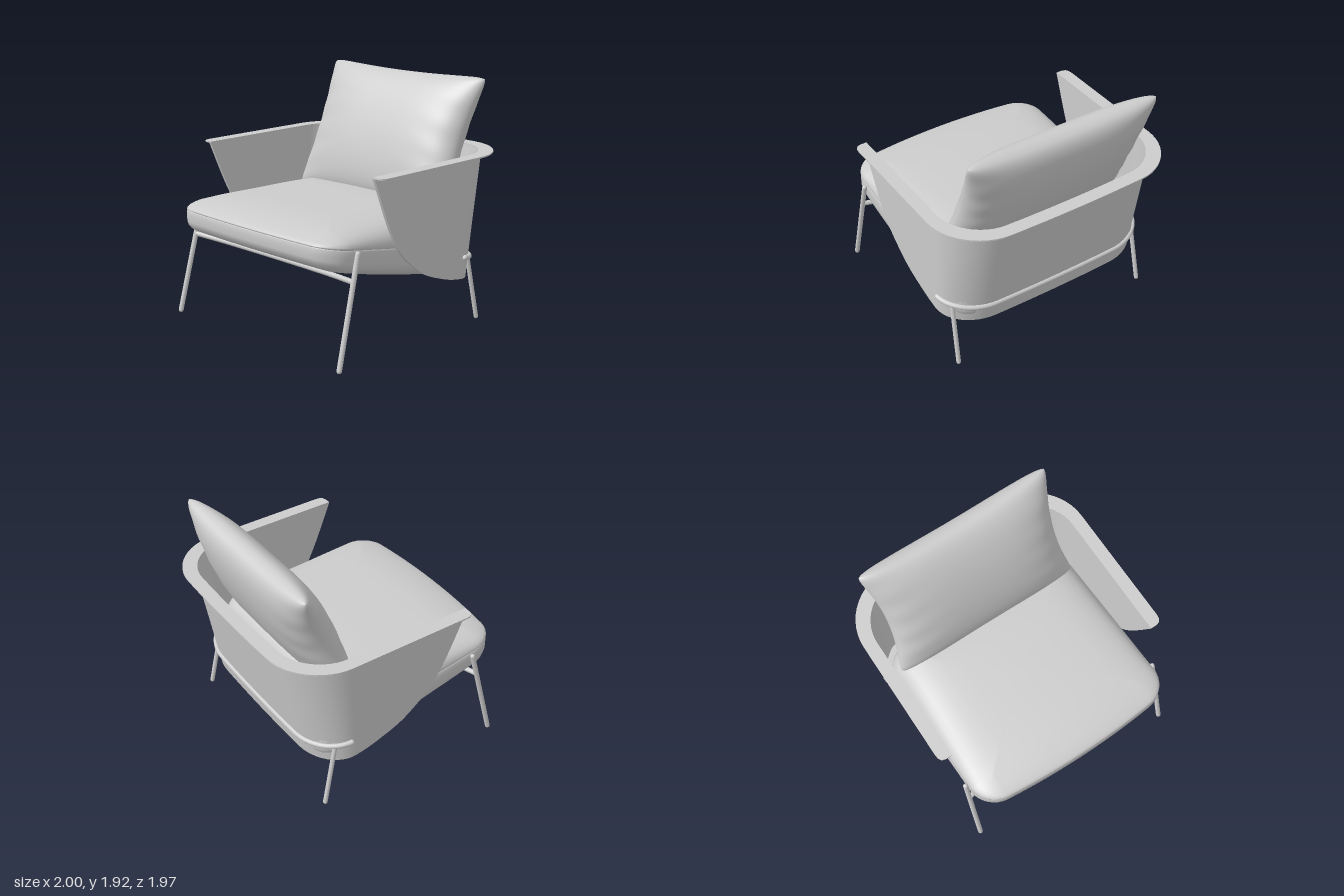
import * as THREE from 'three';

const RIM_Y = 1.355;

// U-shaped plan outline as [x, z], from the left front round the back to the right front
function uPath(w, back, r, zFront, bulge) {
  const half = [];
  const zc = -(back - r);
  for (let i = 0; i < 30; i++) half.push([w, THREE.MathUtils.lerp(zFront, zc, i / 30)]);
  for (let i = 0; i <= 12; i++) {
    const a = (i / 12) * Math.PI / 2;
    half.push([w - r + r * Math.cos(a), zc - r * Math.sin(a)]);
  }
  for (let i = 1; i <= 6; i++) half.push([(w - r) * (1 - i / 6), -back]);
  for (const p of half) if (p[1] < zc) p[1] -= bulge * (1 - (p[0] / w) ** 2) * Math.min(1, (zc - p[1]) / r);
  return [...half, ...half.slice(0, -1).reverse().map(([x, z]) => [-x, z])];
}

// The shell leans inward at the back as it goes down
function lean(x, y, z) {
  const drop = RIM_Y - y;
  return [x * (1 - 0.02 * drop), y, z < -0.2 ? -0.2 + (z + 0.2) * (1 - 0.26 * drop) : z];
}

// Joins rows of points into a surface
function loft(rows, closed) {
  const n = rows[0].length, index = [];
  for (let i = 0; i < rows.length - 1; i++) {
    for (let j = 0; j < (closed ? n : n - 1); j++) {
      const k = (j + 1) % n;
      const a = i * n + j, b = i * n + k, c = (i + 1) * n + k, d = (i + 1) * n + j;
      index.push(a, b, c, a, c, d);
    }
  }
  const g = new THREE.BufferGeometry();
  g.setAttribute('position', new THREE.Float32BufferAttribute(rows.flat(2), 3));
  g.setIndex(index);
  g.computeVertexNormals();
  return g;
}

// Heights of the seat: sloping seam, curved underside and crowned top
const seamY = z => 0.735 + 0.17 * z;
const underY = (x, z) => 0.49 + 0.205 * z + 0.05 * z * z;
const crownY = (x, z) =>
  1.0 - 0.03 * (x / 0.87) ** 2 - 0.04 * Math.max(0, (z - 0.5) / 0.48) ** 2 - 0.03 * Math.max(0, -z / 0.6) ** 2;

// Rounded seat outline, inset evenly; f blends from the seam (0) to the target height (1)
function seatRing(inset, f, zBack, targetY) {
  const zFront = 0.92, w = 0.87;
  const hx = w - inset, hz = (zFront - zBack) / 2 - inset, zc = (zFront + zBack) / 2;
  const r = Math.max(0, 0.2 - inset);
  const corners = [[1, -1], [-1, -1], [-1, 1], [1, 1]];
  const pts = [];
  corners.forEach(([sx, sz], c) => {
    for (let i = 0; i <= 8; i++) {
      const a = (c + i / 8) * Math.PI / 2;
      pts.push([sx * (hx - r) + r * Math.cos(a), zc + sz * (hz - r) - r * Math.sin(a)]);
    }
    const [px, pz] = pts[pts.length - 1];
    const [nx, nz] = corners[(c + 1) % 4];
    const a = (c + 1) * Math.PI / 2;
    const ex = nx * (hx - r) + r * Math.cos(a), ez = zc + nz * (hz - r) - r * Math.sin(a);
    for (let i = 1; i < 12; i++) pts.push([px + (ex - px) * i / 12, pz + (ez - pz) * i / 12]);
  });
  return pts.map(([x, z]) => {
    const zb = z + 0.06 * (1 - (x / w) ** 2) * Math.max(0, z / zFront);
    return [x, THREE.MathUtils.lerp(seamY(zb), targetY(x, zb), f), zb];
  });
}

// Pillow half: side = 1 front, -1 back
function pillowHalf(side) {
  const N = 48, rows = [];
  for (let j = 0; j <= N; j++) {
    const v = Math.sin((j / N - 0.5) * Math.PI), row = [];
    for (let i = 0; i <= N; i++) {
      const u = Math.sin((i / N - 0.5) * Math.PI) * side;
      const round = 1 - 0.03 * (u * v) ** 12;
      const x = 0.83 * u * (1 - 0.1 * (1 - v * v)) * round;
      const y = 0.565 * v * (1 - 0.055 * (1 - u * u)) * round;
      const puff = Math.pow(Math.max(0, 1 - v * v), 0.42) * Math.pow(Math.max(0, 1 - u ** 4), 0.5);
      const crease = 0.008 * Math.sin(16 * v + 5 * Math.abs(u)) * u ** 4 * puff;
      row.push([x, y, side * (0.2 * puff + crease)]);
    }
    rows.push(row);
  }
  return loft(rows, false);
}

export function createModel() {
  const model = new THREE.Group();
  model.name = 'armchair';
  const grey = new THREE.MeshStandardMaterial({ color: 0xcccccc, side: THREE.DoubleSide });
  grey.name = 'light grey';
  const add = (name, geometry, parent = model) => {
    const mesh = new THREE.Mesh(geometry, grey);
    mesh.name = name;
    parent.add(mesh);
    return mesh;
  };

  // Round rod through points, with domed ends
  const rod = (name, points, radius) => {
    const group = new THREE.Group();
    group.name = name;
    const pts = points.map(p => new THREE.Vector3(...p));
    const curve = new THREE.CatmullRomCurve3(pts);
    add(name + 'Bar', new THREE.TubeGeometry(curve, pts.length > 2 ? 64 : 2, radius, 14), group);
    for (const end of [pts[0], pts[pts.length - 1]]) {
      add(name + 'End', new THREE.SphereGeometry(radius, 14, 8), group).position.copy(end);
    }
    model.add(group);
  };

  // Shell with its swept lower edge: outer wall, inner lining and the hem between them
  const edge = new THREE.SplineCurve([
    [0.55, 1.355], [0.4, 1.0], [0.28, 0.78], [0.13, 0.63], [-0.07, 0.5], [-0.39, 0.41], [-0.95, 0.355],
  ].map(p => new THREE.Vector2(...p))).getPoints(90);
  const edgeY = z => {
    const i = Math.max(1, edge.findIndex(p => p.x <= z));
    const a = edge[i - 1], b = edge[i];
    return THREE.MathUtils.mapLinear(z, a.x, b.x, a.y, b.y);
  };
  const wallRows = plan => Array.from({ length: 15 }, (_, i) =>
    plan.map(([x, z]) => lean(x, THREE.MathUtils.lerp(edgeY(z), RIM_Y, i / 14), z)));
  const outerWall = wallRows(uPath(0.92, 0.87, 0.37, 0.55, 0.03));
  const lining = wallRows(uPath(0.897, 0.847, 0.347, 0.55, 0.03));
  add('shellWall', loft(outerWall, false));
  add('shellLining', loft([...lining].reverse(), false));
  add('shellHem', loft([lining[0], outerWall[0]], false));

  // Flat flange round the top of the shell
  const outer = uPath(1.0, 0.95, 0.42, 0.48, 0.035);
  const tip = [[0.95, 0.55], [0.98, 0.54], [0.996, 0.515]];
  const inner = uPath(0.897, 0.847, 0.347, 0.55, 0.03);
  const rimShape = new THREE.Shape([
    ...tip, ...outer, ...tip.map(([x, z]) => [-x, z]).reverse(), ...inner.reverse(),
  ].map(([x, z]) => new THREE.Vector2(x, -z)));
  const rim = new THREE.ExtrudeGeometry(rimShape, { depth: 0.011, bevelEnabled: false });
  rim.rotateX(-Math.PI / 2);
  add('shellRim', rim).position.y = RIM_Y - 0.004;

  // Seat base: underside, rounded edge, side and top
  add('seatBase', loft([
    [0.81, 1], [0.6, 1], [0.4, 1], [0.25, 1], [0.14, 0.98], [0.08, 0.93], [0.035, 0.84],
    [0.01, 0.7], [0, 0.52], [0, 0.25], [0, 0.05], [0.008, 0], [0.008, 0], [0.81, 0],
  ].map(([inset, f]) => seatRing(inset, f, -0.7, underY)), true));

  // Seat cushion: crowned top above the seam
  add('seatCushion', loft([
    [0.76, 0], [0.008, 0], [0.008, 0], [0, 0.08], [0.002, 0.2], [0.009, 0.35], [0.022, 0.5], [0.045, 0.64],
    [0.075, 0.76], [0.12, 0.86], [0.18, 0.93], [0.25, 0.975], [0.35, 1], [0.48, 1], [0.62, 1], [0.76, 1],
  ].map(([inset, f]) => seatRing(inset, f, -0.6, crownY)), true));

  // Back pillow, tilted against the shell
  const pillow = new THREE.Group();
  pillow.name = 'backPillow';
  add('pillowFront', pillowHalf(1), pillow);
  add('pillowBack', pillowHalf(-1), pillow);
  pillow.position.set(0, 1.4, -0.58);
  pillow.rotation.x = -0.4;
  model.add(pillow);

  // Legs
  for (const [side, s] of [['left', 1], ['right', -1]]) {
    rod(side + 'FrontLeg', [[s * 0.887, 0.83, 0.68], [s * 0.912, 0.019, 0.89]], 0.02);
    rod(side + 'RearLeg', [[s * 0.85, 0.53, -0.585], [s * 0.87, 0.019, -0.69]], 0.018);
  }

  // Bowed stretcher under the seat front
  rod('frontStretcher', [
    [0.89, 0.635, 0.73], [0.6, 0.615, 0.67], [0, 0.6, 0.63], [-0.6, 0.615, 0.67], [-0.89, 0.635, 0.73],
  ], 0.02);

  // Rail wrapping the back of the shell
  const railPath = uPath(0.93, 0.872, 0.37, 0.55, 0.03).filter(p => p[1] < -0.55).map(([x, z]) => {
    const y = THREE.MathUtils.mapLinear(z, -0.55, -0.9, 0.56, 0.515);
    return lean(x, y, z);
  });
  rod('rearRail', railPath, 0.021);

  return model;
}
